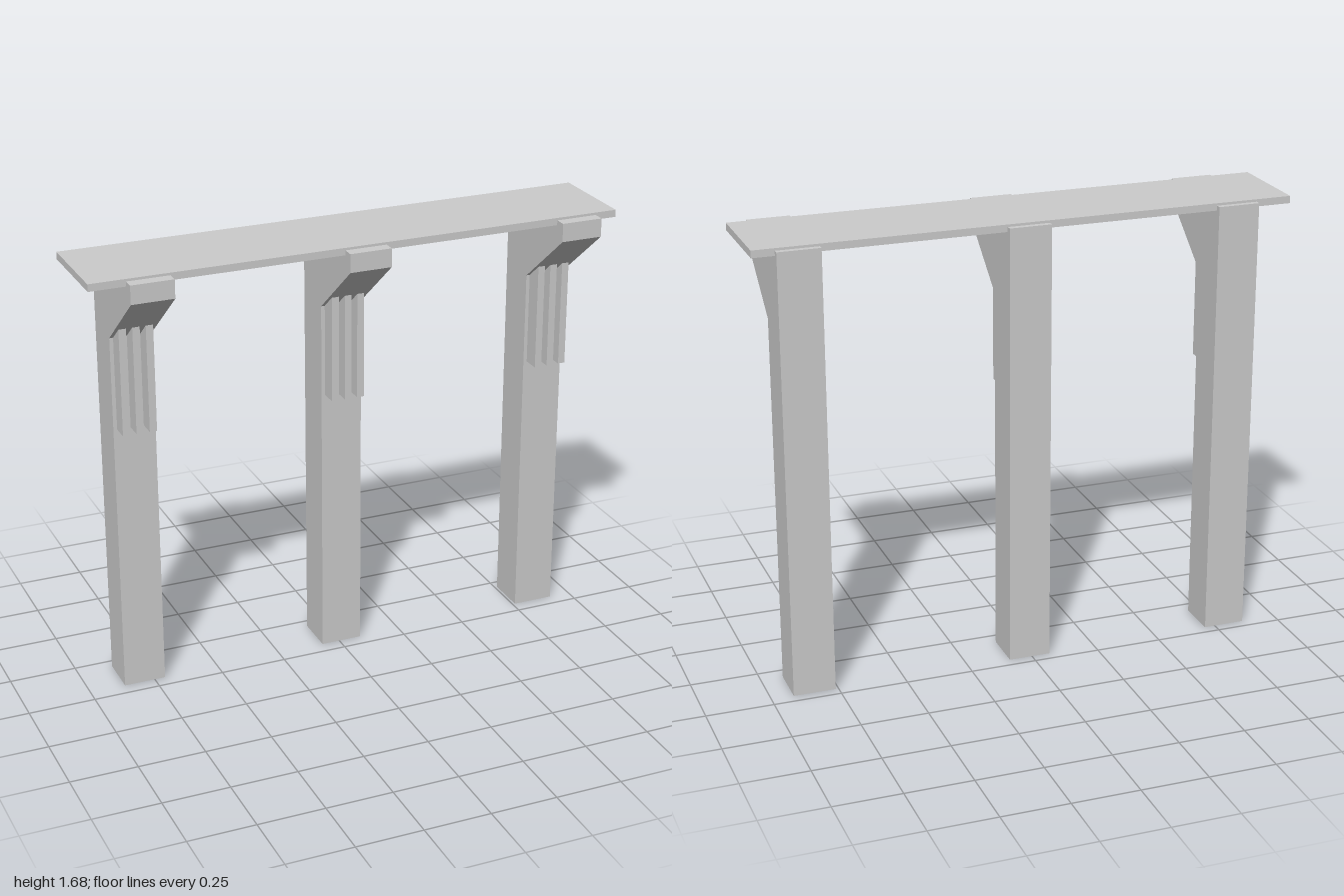
import * as THREE from 'three';

const material = new THREE.MeshStandardMaterial({ color: 0xcccccc, flatShading: true });

// Box given by its min and max corners
function box(name, [x0, y0, z0], [x1, y1, z1]) {
  const geometry = new THREE.BoxGeometry(x1 - x0, y1 - y0, z1 - z0);
  geometry.translate((x0 + x1) / 2, (y0 + y1) / 2, (z0 + z1) / 2);
  const mesh = new THREE.Mesh(geometry, material);
  mesh.name = name;
  return mesh;
}

const POST_WIDTH = 0.157;

// Post and sloped bracket head as one side profile (z, y), extruded across x
function postGeometry() {
  const profile = new THREE.Shape([
    [-0.211, 0], [-0.053, 0], [-0.053, 1.385], [0.211, 1.598], [0.211, 1.667], [-0.211, 1.667],
  ].map(([z, y]) => new THREE.Vector2(-z, y)));
  const geometry = new THREE.ExtrudeGeometry(profile, { depth: POST_WIDTH, bevelEnabled: false });
  geometry.translate(0, 0, -POST_WIDTH / 2);
  geometry.rotateY(Math.PI / 2);
  return geometry;
}

export function createModel() {
  const model = new THREE.Group();
  model.name = 'shelfOnPosts';

  // Long top board
  model.add(box('topBoard', [-1, 1.649, -0.19], [1, 1.676, 0.167]));

  // Three bracketed posts, each with three vertical fins on the front
  const geometry = postGeometry();
  for (const x of [-0.788, 0.009, 0.839]) {
    const support = new THREE.Group();
    support.name = 'support';
    support.position.x = x;
    const post = new THREE.Mesh(geometry, material);
    post.name = 'bracketPost';
    support.add(post);
    for (const fx of [-0.051, -0.001, 0.048]) {
      support.add(box('fin', [fx - 0.0135, 1.037, -0.053], [fx + 0.0135, 1.438, 0.013]));
    }
    model.add(support);
  }
  return model;
}
